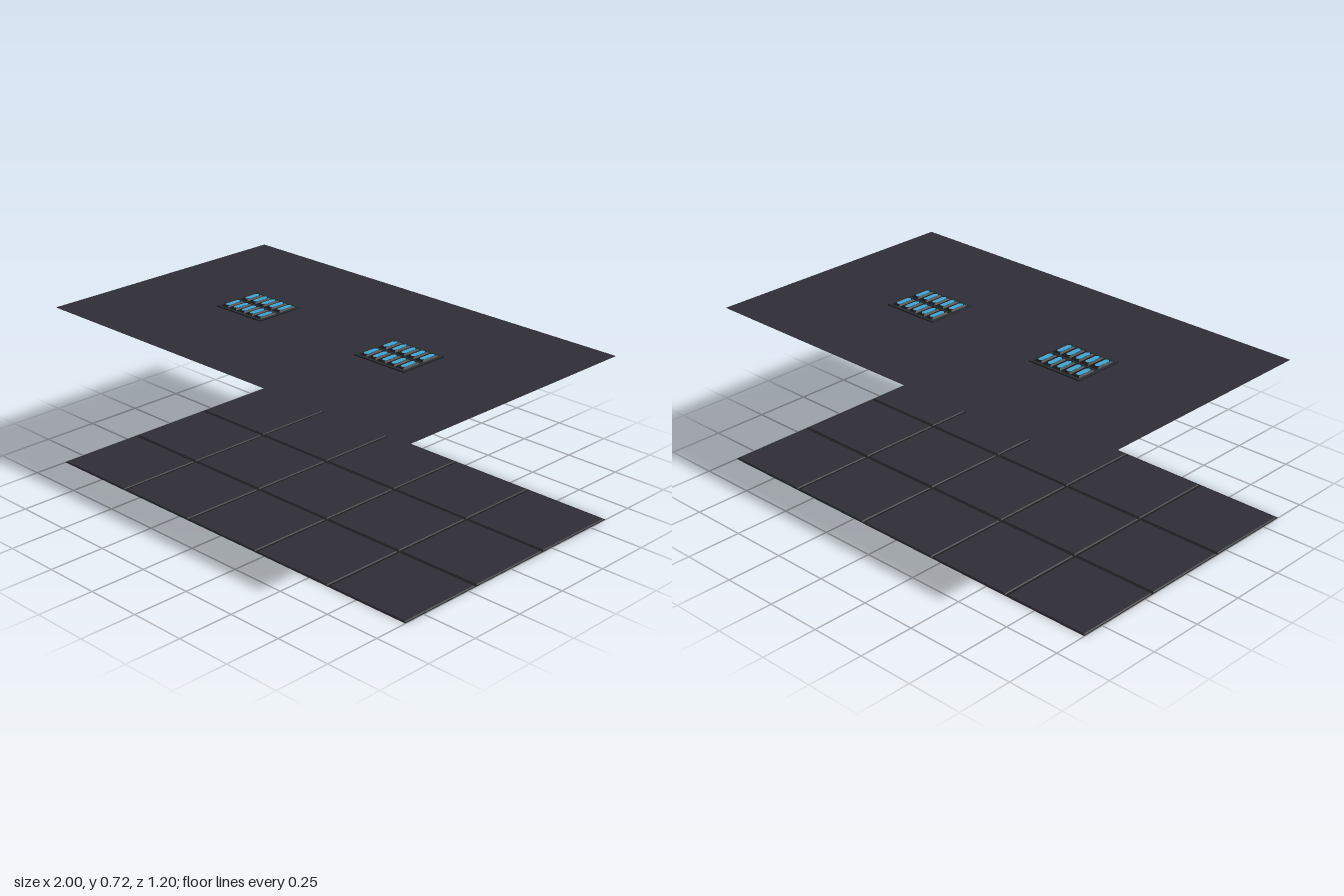
import * as THREE from 'three';

const mat = (name, color, side = THREE.FrontSide) => {
  const m = new THREE.MeshStandardMaterial({ color, side });
  m.name = name;
  return m;
};

// Box standing on y = 0 whose top is inset to w1 x d1
function taperedBox(w0, d0, w1, d1, h) {
  const g = new THREE.BoxGeometry(w0, h, d0).translate(0, h / 2, 0);
  const p = g.attributes.position;
  for (let i = 0; i < p.count; i++) {
    if (p.getY(i) > h / 2) p.setXYZ(i, p.getX(i) * w1 / w0, h, p.getZ(i) * d1 / d0);
  }
  g.computeVertexNormals();
  return g;
}

// Thin plate with pointed ends along z
function lensPlate(w, l, h) {
  const a = w / 2, b = l / 2, c = b - a * 0.7;
  const s = new THREE.Shape([[a, -c], [a, c], [a * 0.3, b], [-a * 0.3, b], [-a, c], [-a, -c], [-a * 0.3, -b], [a * 0.3, -b]]
    .map(([x, y]) => new THREE.Vector2(x, y)));
  return new THREE.ExtrudeGeometry(s, { depth: h, bevelEnabled: false }).rotateX(-Math.PI / 2);
}

export function createModel() {
  const panel = mat('charcoal panel', 0x2e2d36, THREE.DoubleSide);
  const tileMat = mat('charcoal tile', 0x2e2d36);
  const seamMat = mat('dark seam', 0x1e1e21, THREE.DoubleSide);
  const frameMat = mat('vent grey', 0x292b2e);
  const black = mat('vent black', 0x17181a);
  const blue = mat('light blue', 0x3ba3d2);

  const model = new THREE.Group();
  model.name = 'room';
  const add = (parent, name, geo, material, x = 0, y = 0, z = 0) => {
    const m = new THREE.Mesh(geo, material);
    m.name = name;
    m.position.set(x, y, z);
    parent.add(m);
    return m;
  };

  // Floor: 5 x 3 bevelled tiles over a dark sheet
  const floor = new THREE.Group();
  floor.name = 'floor';
  model.add(floor);
  add(floor, 'floorSeams', new THREE.PlaneGeometry(2, 1.2).rotateX(-Math.PI / 2), seamMat, 0, 0.001);
  const tileGeo = taperedBox(0.394, 0.394, 0.382, 0.382, 0.004);
  const tileFaces = [seamMat, seamMat, tileMat, tileMat, seamMat, seamMat];
  for (let i = -2; i <= 2; i++) {
    for (let j = -1; j <= 1; j++) add(floor, 'floorTile', tileGeo, tileFaces, i * 0.4, 0, j * 0.4);
  }

  // Ceiling sheet
  add(model, 'ceiling', new THREE.PlaneGeometry(2, 1.2).rotateX(-Math.PI / 2), panel, 0, 0.713);

  // Two ceiling vents with 5 x 2 lit slots
  const housingGeo = taperedBox(0.038, 0.094, 0.024, 0.076, 0.006);
  const lightGeo = lensPlate(0.022, 0.074, 0.001);
  const bar = (w, d) => new THREE.BoxGeometry(w, 0.012, d);
  for (const x of [-0.4, 0.4]) {
    const vent = new THREE.Group();
    vent.name = 'vent';
    vent.position.set(x, 0.712, 0);
    model.add(vent);
    add(vent, 'ventPlate', new THREE.BoxGeometry(0.264, 0.009, 0.232), black);
    for (const s of [-1, 1]) {
      add(vent, 'ventFrameSide', bar(0.012, 0.23), frameMat, s * 0.126, 0, 0);
      add(vent, 'ventFrameEnd', bar(0.24, 0.012), frameMat, 0, 0, s * 0.109);
    }
    add(vent, 'ventDivider', bar(0.24, 0.008), frameMat);
    for (let i = -2; i <= 2; i++) {
      for (const s of [-1, 1]) {
        const px = i * 0.049, pz = s * 0.055;
        add(vent, 'slotHousing', housingGeo, black, px, 0.0045, pz);
        add(vent, 'slotLight', lightGeo, blue, px, 0.0105, pz);
        add(vent, 'slotLightBelow', lightGeo, blue, px, -0.0053, pz);
      }
    }
  }
  return model;
}
